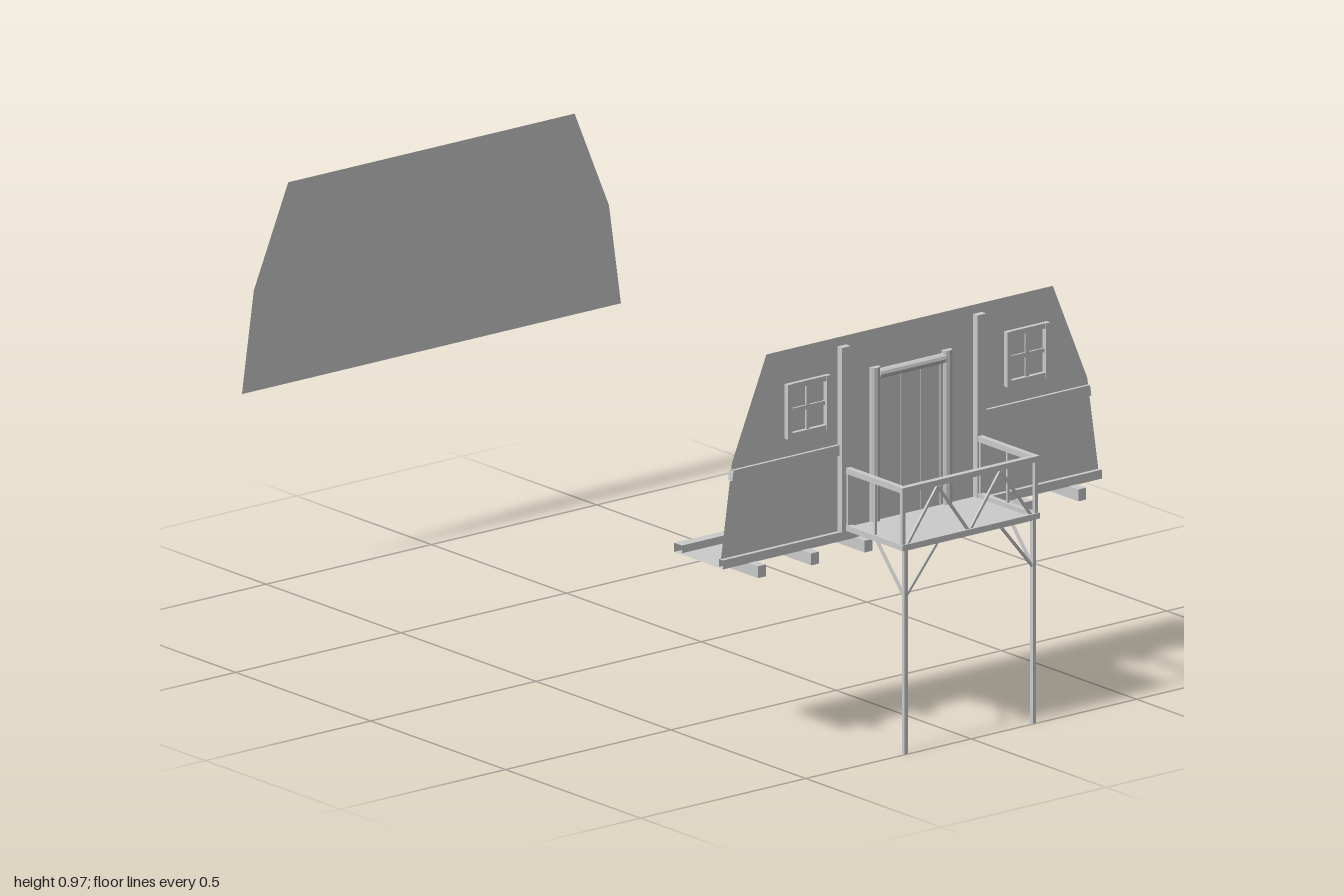
import * as THREE from 'three';

const grey = new THREE.MeshStandardMaterial({ color: 0xcccccc, flatShading: true, side: THREE.DoubleSide });
const WALL_Z = 0.772;

function add(parent, name, geometry) {
  const mesh = new THREE.Mesh(geometry, grey);
  mesh.name = name;
  parent.add(mesh);
  return mesh;
}

// Box given by its lower and upper limits on each axis
function box(parent, name, [x0, x1], [y0, y1], [z0, z1]) {
  const mesh = add(parent, name, new THREE.BoxGeometry(x1 - x0, y1 - y0, z1 - z0));
  mesh.position.set((x0 + x1) / 2, (y0 + y1) / 2, (z0 + z1) / 2);
  return mesh;
}

// Square bar between two points
function bar(parent, name, a, b, t) {
  const from = new THREE.Vector3(...a), to = new THREE.Vector3(...b);
  const dir = to.clone().sub(from);
  const mesh = add(parent, name, new THREE.BoxGeometry(t, dir.length(), t));
  mesh.position.copy(from).add(to).multiplyScalar(0.5);
  mesh.quaternion.setFromUnitVectors(new THREE.Vector3(0, 1, 0), dir.normalize());
  return mesh;
}

function shapeOf(points) {
  return new THREE.Shape(points.map(p => new THREE.Vector2(...p)));
}

// Open folded sheet: a (z, y) profile swept along x
function sheet(parent, name, profile, halfWidth) {
  const pos = [], index = [];
  profile.forEach(([z, y], i) => {
    pos.push(-halfWidth, y, z, halfWidth, y, z);
    if (i) index.push(2 * i - 2, 2 * i - 1, 2 * i, 2 * i, 2 * i - 1, 2 * i + 1);
  });
  const g = new THREE.BufferGeometry();
  g.setAttribute('position', new THREE.Float32BufferAttribute(pos, 3));
  g.setIndex(index);
  g.computeVertexNormals();
  return add(parent, name, g);
}

function makeWindow(cx) {
  const g = new THREE.Group();
  g.name = 'window';
  const cy = 0.822, w = 0.065, h = 0.067, t = 0.013;
  box(g, 'windowBox', [cx - 0.05, cx + 0.05], [cy - 0.053, cy + 0.053], [0.746, 0.774]);
  // Outer frame
  for (const s of [-1, 1]) {
    const x = cx + s * (w - t / 2), y = cy + s * (h - t / 2);
    box(g, 'frameStile', [x - t / 2, x + t / 2], [cy - h, cy + h], [0.765, 0.785]);
    box(g, 'frameRail', [cx - w + t, cx + w - t], [y - t / 2, y + t / 2], [0.765, 0.783]);
  }
  // Glazing bars
  box(g, 'glazingBar', [cx - 0.005, cx + 0.005], [cy - h + t, cy + h - t], [0.77, 0.779]);
  box(g, 'glazingBar', [cx - w + t, cx + w - t], [cy - 0.005, cy + 0.005], [0.77, 0.779]);
  return g;
}

function makeDoor() {
  const g = new THREE.Group();
  g.name = 'door';
  box(g, 'doorBox', [-0.092, 0.09], [0.505, 0.848], [0.735, 0.773]);
  // Planks with narrow gaps
  const edges = [-0.09, -0.031, 0.03, 0.09];
  for (let i = 0; i < 3; i++) {
    box(g, 'doorPlank', [edges[i] + 0.001, edges[i + 1] - 0.001], [0.505, 0.848], [0.77, 0.775]);
  }
  // Flattened log posts and lintel
  for (const s of [-1, 1]) {
    const post = add(g, 'doorPost', new THREE.CylinderGeometry(0.014, 0.014, 0.378, 10));
    post.scale.z = 0.75;
    post.position.set(s * 0.109, 0.691, 0.777);
    box(g, 'doorJamb', s < 0 ? [-0.098, -0.088] : [0.088, 0.098], [0.505, 0.85], [0.768, 0.779]);
  }
  const lintel = add(g, 'doorLintel', new THREE.CylinderGeometry(0.012, 0.012, 0.2, 10));
  lintel.rotation.z = Math.PI / 2;
  lintel.position.set(0, 0.861, 0.776);
  return g;
}

function makeBalcony() {
  const g = new THREE.Group();
  g.name = 'balcony';
  const X = 0.2, Z0 = 0.79, Z1 = 0.992, LOW = 0.507, TOP = 0.647;
  box(g, 'balconyFloor', [-X, X], [0.497, 0.503], [0.775, 0.995]);
  // Front rails with zigzag braces
  for (const y of [LOW, TOP]) box(g, 'frontRail', [-0.208, 0.208], [y - 0.007, y + 0.007], [0.985, 1]);
  for (let i = 0; i < 4; i++) {
    const y0 = i % 2 ? TOP - 0.01 : LOW, y1 = i % 2 ? LOW : TOP - 0.01;
    bar(g, 'railBrace', [-0.19 + i * 0.095, y0, Z1], [-0.095 + i * 0.095, y1, Z1], 0.006);
  }
  for (const s of [-1, 1]) {
    const x = s * X;
    // Side rails and uprights
    for (const y of [LOW, TOP]) box(g, 'sideRail', [x - 0.007, x + 0.007], [y - 0.007, y + 0.007], [0.775, 0.99]);
    for (const z of [Z0, 0.89, Z1]) bar(g, 'railPost', [x, LOW, z], [x, TOP, z], z === 0.89 ? 0.006 : 0.009);
    // Tall leg with two knee braces
    const lx = s * 0.194;
    bar(g, 'leg', [lx, 0, Z1], [lx, 0.5, Z1], 0.01);
    bar(g, 'kneeBrace', [lx, 0.382, Z1], [s * 0.097, 0.498, Z1], 0.006);
    bar(g, 'kneeBrace', [lx, 0.382, Z1], [lx, 0.498, 0.888], 0.006);
  }
  return g;
}

export function createModel() {
  const model = new THREE.Group();
  model.name = 'cabinGables';

  // Flat gable walls, front and back
  const outline = [[-0.573, 0.48], [0.573, 0.48], [0.537, 0.727], [0.433, 0.972], [-0.433, 0.972], [-0.537, 0.727]];
  for (const [name, z] of [['frontWall', WALL_Z], ['backWall', -1]]) {
    add(model, name, new THREE.ShapeGeometry(shapeOf(outline))).position.z = z;
  }

  // Battens and horizontal bands, showing on both faces of the front wall
  for (const s of [-1, 1]) {
    box(model, 'wallBatten', s < 0 ? [-0.218, -0.192] : [0.192, 0.218], [0.497, 0.95], [0.763, 0.789]);
    const band = shapeOf([[s * 0.218, 0.684], [s * 0.543, 0.684], [s * 0.539, 0.71], [s * 0.218, 0.71]]);
    const mesh = add(model, 'wallBand', new THREE.ExtrudeGeometry(band, { depth: 0.016, bevelEnabled: false }));
    mesh.position.z = 0.764;
  }

  model.add(makeWindow(-0.313), makeWindow(0.35), makeDoor());

  // Floor sheet with a raised lip along the front and back edges
  sheet(model, 'floor', [
    [0.783, 0.475], [0.783, 0.497], [0.768, 0.497], [0.768, 0.478],
    [0.63, 0.478], [0.63, 0.497], [0.602, 0.497], [0.602, 0.475], [0.783, 0.475],
  ], 0.573);

  // Joists under the floor
  for (let i = -3; i <= 3; i++) {
    const x = i * 0.1615;
    box(model, 'joist', [x - 0.012, x + 0.012], [0.447, 0.476], [0.605, 0.818]);
  }

  model.add(makeBalcony());
  return model;
}
